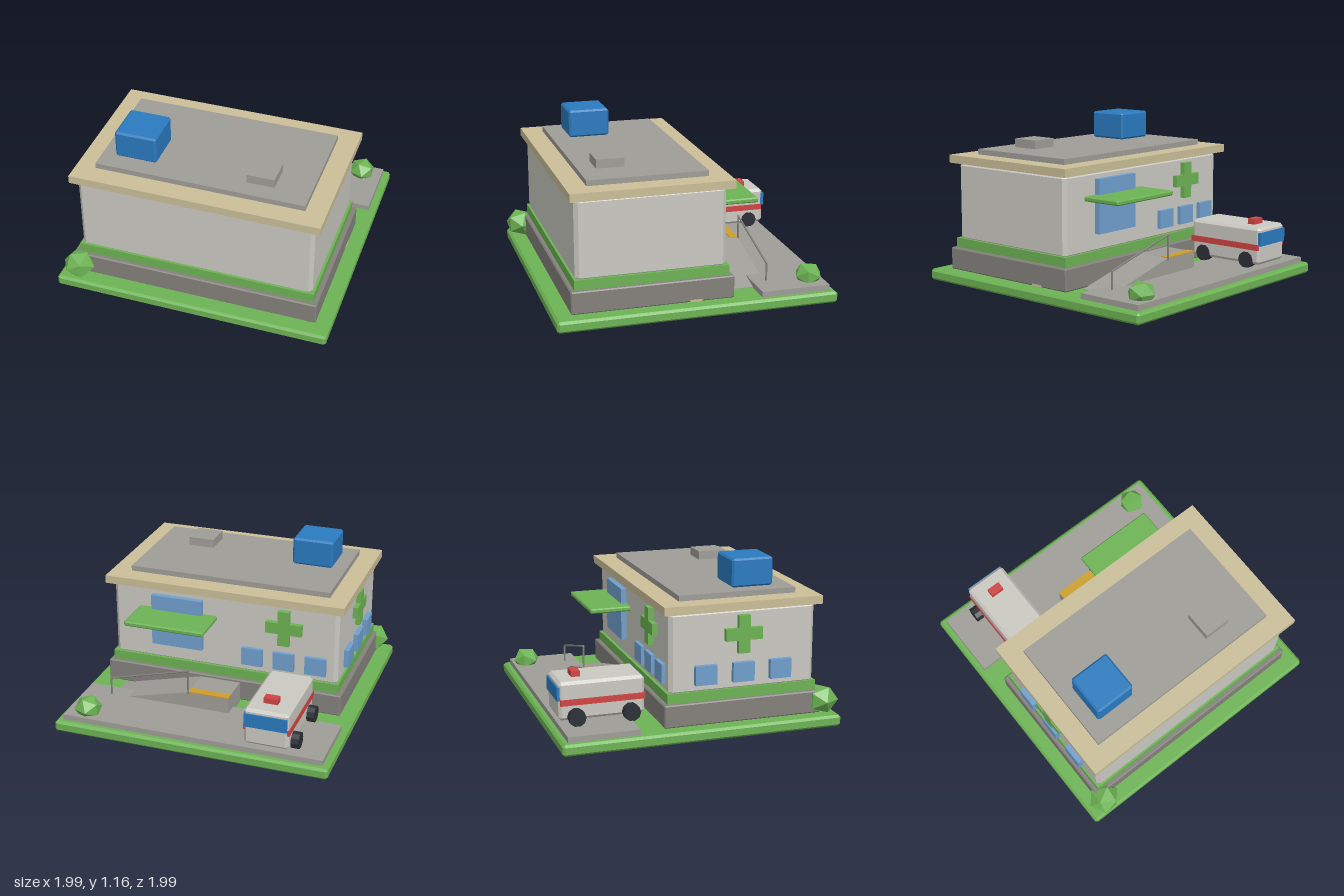
import * as THREE from 'three';
import { ConvexGeometry } from 'three/addons/geometries/ConvexGeometry.js';

const material = (name, color) => {
  const m = new THREE.MeshStandardMaterial({ color });
  m.name = name;
  return m;
};

export function createModel() {
  const green = material('green', 0x6db354);
  const concrete = material('concrete', 0x9f9d97);
  const stone = material('dark stone', 0x84817c);
  const wall = material('off white', 0xc9c8c1);
  const beige = material('beige', 0xcabe98);
  const blue = material('blue', 0x2a7abf);
  const glass = material('glass', 0x709fcd);
  const red = material('red', 0xd04444);
  const amber = material('amber', 0xcc9e2c);
  const rubber = material('rubber', 0x2c2f36);
  for (const m of [green]) m.flatShading = true;

  const model = new THREE.Group();
  model.name = 'clinic';
  const group = (name) => {
    const g = new THREE.Group();
    g.name = name;
    model.add(g);
    return g;
  };
  const add = (parent, name, geometry, mat, x = 0, y = 0, z = 0) => {
    const mesh = new THREE.Mesh(geometry, mat);
    mesh.name = name;
    mesh.position.set(x, y, z);
    parent.add(mesh);
    return mesh;
  };

  // Box given by its limits; a bevel above zero chamfers every edge
  const box = (parent, name, mat, [x0, x1], [y0, y1], [z0, z1], bevel = 0) => {
    const size = [x1 - x0, y1 - y0, z1 - z0];
    let geometry;
    if (bevel > 0) {
      const points = [];
      for (const sx of [-1, 1]) for (const sy of [-1, 1]) for (const sz of [-1, 1])
        for (let axis = 0; axis < 3; axis++) {
          const p = [sx, sy, sz].map((s, i) => s * (size[i] / 2 - (i === axis ? 0 : bevel)));
          points.push(new THREE.Vector3(...p));
        }
      geometry = new ConvexGeometry(points);
    } else geometry = new THREE.BoxGeometry(...size);
    return add(parent, name, geometry, mat, (x0 + x1) / 2, (y0 + y1) / 2, (z0 + z1) / 2);
  };

  // Grounds
  const grounds = group('grounds');
  box(grounds, 'lawn', green, [-0.995, 0.995], [0, 0.08], [-1, 0.98], 0.016);
  box(grounds, 'parkingArea', concrete, [-0.95, 0.945], [0.07, 0.12], [-0.955, -0.46]);

  // Building shell and roof
  const building = group('building');
  box(building, 'plinth', stone, [-0.89, 0.89], [0.08, 0.24], [-0.275, 0.865], 0.008);
  box(building, 'baseBand', green, [-0.86, 0.86], [0.24, 0.31], [-0.245, 0.835]);
  box(building, 'walls', wall, [-0.847, 0.843], [0.29, 0.865], [-0.228, 0.822], 0.026);
  box(building, 'roofRim', beige, [-0.89, 0.89], [0.86, 0.918], [-0.275, 0.86]);
  box(building, 'roofDeck', concrete, [-0.75, 0.745], [0.91, 0.957], [-0.13, 0.715]);
  box(building, 'roofUnit', blue, [-0.65, -0.35], [0.957, 1.157], [0.29, 0.59], 0.013);
  box(building, 'roofVent', concrete, [0.3, 0.495], [0.95, 1.02], [0.39, 0.59]);
  box(building, 'sideMark', beige, [0.885, 0.893], [0.082, 0.096], [-0.045, 0.04]);

  // Entrance
  box(building, 'entranceDoor', glass, [0.155, 0.54], [0.425, 0.81], [-0.268, -0.22]);
  box(building, 'canopy', green, [0.05, 0.645], [0.665, 0.7], [-0.527, -0.22], 0.008);

  // Windows and crosses on the back wall and on the right wall
  const crossHalf = 0.132, arm = 0.042;
  for (const [a, b] of [[crossHalf, arm], [arm, crossHalf]]) {
    box(building, 'backCross', green, [-0.455 - a, -0.455 + a], [0.69 - b, 0.69 + b], [-0.265, -0.225]);
    box(building, 'sideCross', green, [-0.883, -0.84], [0.69 - b, 0.69 + b], [0.295 - a, 0.295 + a]);
  }
  for (const i of [-1, 0, 1]) {
    const x = -0.455 + i * 0.235, z = 0.295 + i * 0.27;
    box(building, 'backWindow', glass, [x - 0.077, x + 0.077], [0.362, 0.495], [-0.257, -0.22]);
    box(building, 'sideWindow', glass, [-0.883, -0.84], [0.357, 0.492], [z - 0.077, z + 0.077]);
  }

  // Landing and access ramp
  const access = group('accessRamp');
  box(access, 'landing', concrete, [-0.15, 0.15], [0.075, 0.237], [-0.56, -0.305]);
  box(access, 'warningStrip', amber, [-0.151, 0.15], [0.235, 0.242], [-0.562, -0.5]);
  const slope = new THREE.Shape([[0.15, 0.075], [0.75, 0.075], [0.75, 0.084], [0.15, 0.237]]
    .map(([x, y]) => new THREE.Vector2(x, y)));
  add(access, 'ramp', new THREE.ExtrudeGeometry(slope, { depth: 0.255, bevelEnabled: false }), concrete, 0, 0, -0.56);

  // Handrail following the slope
  const rod = (name, a, b) => {
    const from = new THREE.Vector3(...a), to = new THREE.Vector3(...b);
    const mesh = add(access, name, new THREE.CylinderGeometry(0.007, 0.007, from.distanceTo(to), 8), stone);
    mesh.position.copy(from).lerp(to, 0.5);
    mesh.quaternion.setFromUnitVectors(new THREE.Vector3(0, 1, 0), to.sub(from).normalize());
  };
  rod('railPost', [0.15, 0.22, -0.56], [0.15, 0.405, -0.56]);
  rod('railPost', [0.745, 0.08, -0.56], [0.745, 0.245, -0.56]);
  rod('handrail', [0.145, 0.405, -0.56], [0.75, 0.245, -0.56]);

  // Ambulance
  const ambulance = group('ambulance');
  box(ambulance, 'body', wall, [-0.71, -0.395], [0.148, 0.415], [-0.955, -0.357], 0.02);
  box(ambulance, 'stripe', red, [-0.715, -0.39], [0.252, 0.295], [-0.945, -0.355]);
  box(ambulance, 'windscreen', blue, [-0.7, -0.4], [0.285, 0.382], [-0.965, -0.93]);
  box(ambulance, 'siren', red, [-0.6, -0.5], [0.41, 0.455], [-0.84, -0.78]);
  for (const x of [-0.737, -0.415]) for (const z of [-0.84, -0.46]) {
    const tyre = new THREE.CylinderGeometry(0.06, 0.06, 0.056, 10).toNonIndexed();
    tyre.computeVertexNormals();
    add(ambulance, 'wheel', tyre, rubber, x, 0.175, z).rotation.z = Math.PI / 2;
  }

  // Bushes
  const bush = (x, y, z, r, turn) => {
    const mesh = add(grounds, 'bush', new THREE.IcosahedronGeometry(r, 0), green, x, y, z);
    mesh.scale.y = 0.9;
    mesh.rotation.y = turn;
  };
  bush(-0.852, 0.168, 0.89, 0.117, 0.5);
  bush(0.793, 0.153, -0.855, 0.1, 1.2);

  return model;
}
